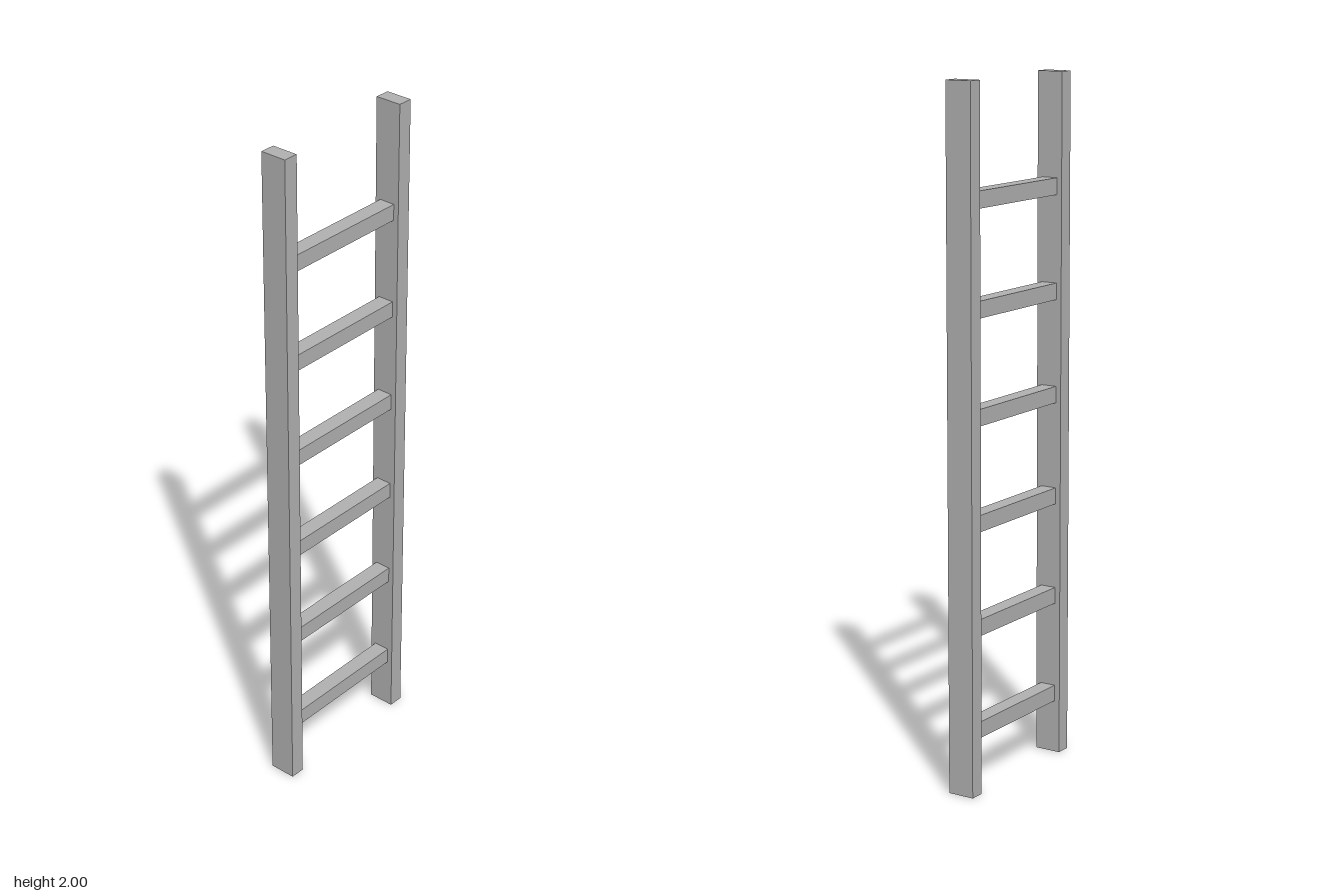
import * as THREE from 'three';

export function createModel() {
  const ladder = new THREE.Group();
  ladder.name = 'ladder';
  const grey = new THREE.MeshStandardMaterial({ color: 0xb2b2b2 });
  grey.name = 'grey';

  const addBar = (name, size, x, y) => {
    const bar = new THREE.Mesh(new THREE.BoxGeometry(...size), grey);
    bar.name = name;
    bar.position.set(x, y, 0);
    ladder.add(bar);
  };

  // Upright rails
  addBar('leftRail', [0.045, 2, 0.08], 0.2275, 1);
  addBar('rightRail', [0.045, 2, 0.08], -0.2275, 1);

  // Evenly spaced rungs, butted between the rails
  for (let i = 0; i < 6; i++) {
    addBar(`rung${i + 1}`, [0.41, 0.048, 0.048], 0, 0.181 + i * 0.2995);
  }

  return ladder;
}
